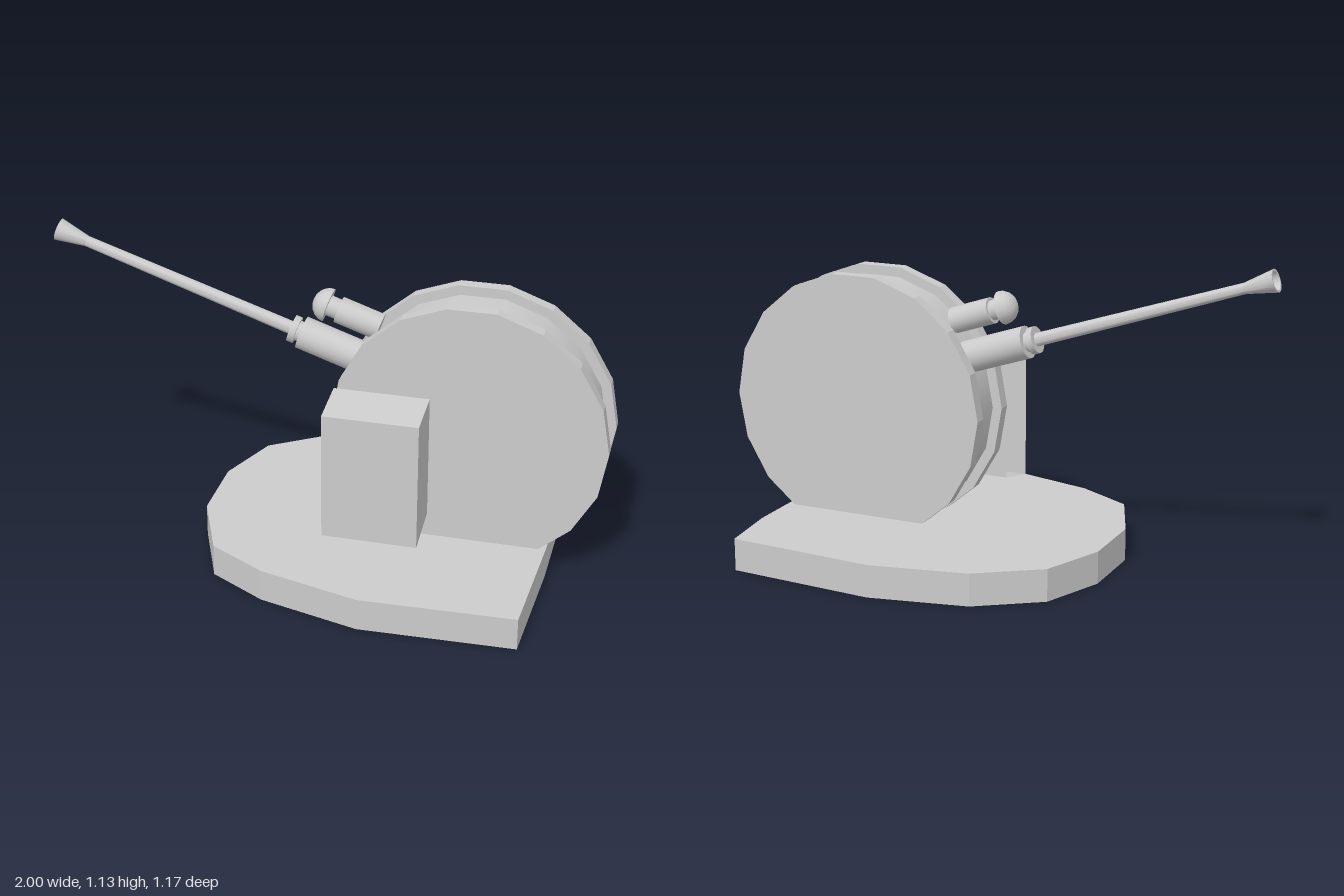
import * as THREE from 'three';
import { toCreasedNormals } from 'three/addons/utils/BufferGeometryUtils.js';

const material = new THREE.MeshStandardMaterial({ color: 0xcccccc });
const openMaterial = new THREE.MeshStandardMaterial({ color: 0xcccccc, side: THREE.DoubleSide });

function addMesh(parent, name, geometry, mat = material) {
  const mesh = new THREE.Mesh(geometry, mat);
  mesh.name = name;
  parent.add(mesh);
  return mesh;
}

// Round part from [radius, distance along axis] pairs, with sharp edges kept
function turned(profile) {
  const points = profile.map(([r, t]) => new THREE.Vector2(r, t));
  return toCreasedNormals(new THREE.LatheGeometry(points, 18), 0.6);
}

// Group whose local +y points along the raised gun direction
function gunAxis(name, x, y, z) {
  const group = new THREE.Group();
  group.name = name;
  group.position.set(x, y, z);
  group.rotation.z = THREE.MathUtils.degToRad(71.5);
  return group;
}

// Eighteen-sided wheel with its axle along z
function wheel(radius, z0, z1) {
  const geometry = new THREE.CylinderGeometry(radius, radius, z1 - z0, 18);
  geometry.rotateX(Math.PI / 2);
  geometry.rotateZ(Math.PI / 2);
  geometry.translate(0.515, 0.52, (z0 + z1) / 2);
  return geometry;
}

// Sloped housing, open on its -x end
function housingGeometry(x0, x1) {
  const profile = [[0.335, 0.195], [0.16, 0.232], [0.165, 0.682], [0.335, 0.66]]; // z, y
  const positions = [];
  const quad = (a, b, c, d) => positions.push(...a, ...b, ...c, ...a, ...c, ...d);
  const at = (x, i) => [x, profile[i % 4][1], profile[i % 4][0]];
  for (let i = 0; i < 4; i++) quad(at(x0, i), at(x0, i + 1), at(x1, i + 1), at(x1, i));
  quad(at(x1, 0), at(x1, 1), at(x1, 2), at(x1, 3));
  const geometry = new THREE.BufferGeometry();
  geometry.setAttribute('position', new THREE.Float32BufferAttribute(positions, 3));
  geometry.computeVertexNormals();
  return geometry;
}

export function createModel() {
  const model = new THREE.Group();
  model.name = 'gunMount';

  // Base plate: rounded towards the muzzle, straight at the rear
  const outline = [[-0.43, -0.14], [-0.34, -0.37], [-0.12, -0.52], [0.23, -0.59], [0.775, -0.55],
    [0.805, -0.32], [0.805, 0.1], [0.785, 0.565], [0.24, 0.583], [-0.12, 0.49], [-0.325, 0.375], [-0.43, 0.12]];
  const shape = new THREE.Shape(outline.map(([x, z]) => new THREE.Vector2(x, -z)));
  const base = new THREE.ExtrudeGeometry(shape, { depth: 0.117, bevelEnabled: false });
  base.rotateX(-Math.PI / 2);
  addMesh(model, 'basePlate', base);

  // Drum between two side discs
  addMesh(model, 'drum', wheel(0.45, -0.09, 0.07));
  addMesh(model, 'frontDisc', toCreasedNormals(wheel(0.485, 0.067, 0.113), 0.2));
  addMesh(model, 'backDisc', toCreasedNormals(wheel(0.485, -0.133, -0.088), 0.2));

  // Side housing
  addMesh(model, 'sideHousing', housingGeometry(0.055, 0.39), openMaterial);

  // Gun: sleeve, collar, long barrel and hollow flared muzzle
  const gun = gunAxis('gun', 0, 0.76, -0.007);
  addMesh(gun, 'sleeve', turned([[0, -0.2], [0.058, -0.2], [0.058, 0.11], [0, 0.11]]));
  addMesh(gun, 'collar', turned([[0.036, 0.1], [0.036, 0.125], [0.048, 0.125], [0.048, 0.148], [0, 0.148]]));
  addMesh(gun, 'barrel', turned([[0.024, 0.13], [0.019, 0.93]]));
  addMesh(gun, 'muzzle', turned([[0.019, 0.93], [0.023, 0.95], [0.04, 1.04], [0.033, 1.04], [0.012, 0.95], [0, 0.95]]), openMaterial);
  model.add(gun);

  // Domed cylinder above the sleeve
  const recoil = gunAxis('upperCylinder', 0, 0.905, -0.01);
  addMesh(recoil, 'cylinderBody', turned([[0, -0.185], [0.047, -0.185], [0.047, -0.03], [0, -0.03]]));
  addMesh(recoil, 'cylinderNeck', turned([[0.036, -0.04], [0.036, 0.015]]));
  const dome = [[0, 0.008], [0.06, 0.008]];
  for (let i = 1; i <= 5; i++) {
    const a = (i / 5) * Math.PI / 2;
    dome.push([0.06 * Math.cos(a), 0.008 + 0.056 * Math.sin(a)]);
  }
  addMesh(recoil, 'domeCap', turned(dome));
  model.add(recoil);

  return model;
}
